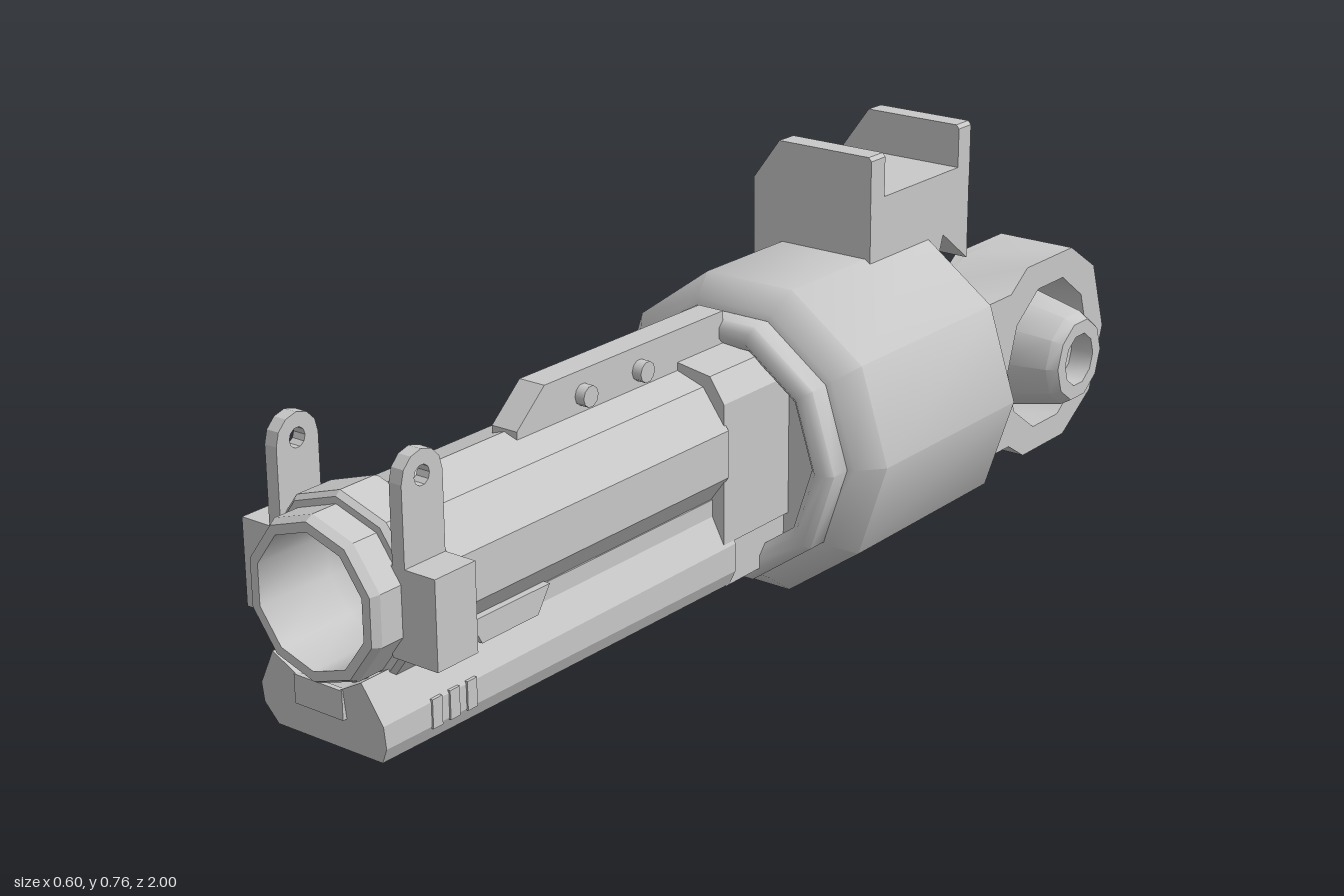
import * as THREE from 'three';
import { mergeVertices, toCreasedNormals } from 'three/addons/utils/BufferGeometryUtils.js';

const AXIS_X = -0.017; // barrel line
const AXIS_Y = 0.34;

export function createModel() {
  const model = new THREE.Group();
  model.name = 'barrelAssembly';
  const grey = new THREE.MeshStandardMaterial({ color: 0xc8c8c8 });
  grey.name = 'light grey';

  const add = (name, geometry, x = 0, y = 0, z = 0) => {
    const mesh = new THREE.Mesh(geometry, grey);
    mesh.name = name;
    mesh.position.set(x, y, z);
    model.add(mesh);
    return mesh;
  };

  // Box given by its limits
  const box = (name, x0, x1, y0, y1, z0, z1) =>
    add(name, new THREE.BoxGeometry(x1 - x0, y1 - y0, z1 - z0), (x0 + x1) / 2, (y0 + y1) / 2, (z0 + z1) / 2);

  // Ten-sided turned part; profile is [radius, position along axis]
  const lathe = (profile, phase, crease) =>
    toCreasedNormals(new THREE.LatheGeometry(profile.map(([r, h]) => new THREE.Vector2(r, h)), 10, phase), crease);
  const turnZ = (profile, phase, crease) => lathe(profile, phase, crease).rotateX(Math.PI / 2);

  const shapeOf = (pts) => new THREE.Shape(pts.map(([a, b]) => new THREE.Vector2(a, b)));
  const circlePath = (u, v, r, n) => {
    const p = [];
    for (let i = 0; i < n; i++) {
      const a = (i / n) * Math.PI * 2;
      p.push(new THREE.Vector2(u + Math.cos(a) * r, v + Math.sin(a) * r));
    }
    return new THREE.Path(p);
  };

  // Front outline [x, y] extruded from z0 to z1
  const extrudeZ = (pts, z0, z1) =>
    new THREE.ExtrudeGeometry(shapeOf(pts), { depth: z1 - z0, bevelEnabled: false }).translate(0, 0, z0);

  // Side outline [z, y] extruded from x0 to x1, with optional hole [z, y, radius, sides]
  const extrudeX = (pts, x0, x1, hole) => {
    const s = shapeOf(pts.map(([z, y]) => [-z, y]));
    if (hole) s.holes.push(circlePath(-hole[0], hole[1], hole[2], hole[3]));
    return new THREE.ExtrudeGeometry(s, { depth: x1 - x0, bevelEnabled: false })
      .rotateY(Math.PI / 2).translate(x0, 0, 0);
  };

  // Main housing with front ring and hollow rear
  add('housing', turnZ([
    [0, -0.47], [0.205, -0.47], [0.215, -0.555], [0.262, -0.56], [0.3, -0.51],
    [0.3, -0.09], [0.262, -0.045], [0.24, -0.04],
  ], Math.PI / 10, 0.85), 0, 0.29, 0);
  add('frontRing', turnZ([
    [0.235, -0.05], [0.25, -0.04], [0.25, 0], [0.238, 0.012], [0.217, 0.012],
    [0.2, -0.005], [0.2, -0.06], [0, -0.06],
  ], Math.PI / 10, 0.85), 0, 0.29, 0);

  // Barrel, smooth bore and clamp band
  add('barrel', turnZ([[0, 0.125], [0.14, 0.125], [0.14, 0.985], [0.132, 1], [0.115, 1]], 0, 0.3),
    AXIS_X, AXIS_Y, 0);
  const bore = turnZ([[0.115, 1], [0.113, 0.85], [0.08, 0.78], [0, 0.74]], 0, 0.3);
  bore.deleteAttribute('normal');
  bore.deleteAttribute('uv');
  const smoothBore = mergeVertices(bore);
  smoothBore.computeVertexNormals();
  add('bore', smoothBore, AXIS_X, AXIS_Y, 0);
  add('clampBand', turnZ([[0.13, 0.84], [0.155, 0.84], [0.16, 0.85], [0.16, 0.925], [0.152, 0.935], [0.13, 0.935]], 0, 0.3),
    AXIS_X, AXIS_Y, 0);
  add('rearCollar', extrudeZ([
    [-0.117, 0.17], [0.11, 0.17], [0.11, 0.43], [0.08, 0.475], [AXIS_X, 0.49], [-0.1, 0.475], [-0.117, 0.43],
  ], -0.06, 0.13));

  // Fore-end under the barrel
  const foreEnd = [
    [-0.122, 0.097], [0.1, 0.097], [0.113, 0.125], [0.113, 0.165], [0.078, 0.232],
    [0.03, 0.205], [AXIS_X, 0.195], [-0.065, 0.205], [-0.11, 0.232], [-0.147, 0.165], [-0.147, 0.13],
  ];
  const foreGeometry = extrudeZ(foreEnd, 0.1, 1);
  const p = foreGeometry.attributes.position;
  for (let i = 0; i < p.count; i++) {
    // lean the nose back and let the underside drop toward the rear
    const y = p.getY(i);
    if (p.getZ(i) > 0.5) p.setZ(i, 0.995 - (0.232 - y) * 0.12);
    else if (y < 0.15) p.setY(i, y - 0.012);
  }
  foreGeometry.computeVertexNormals();
  add('foreEnd', foreGeometry);
  box('foreEndSpine', -0.115, 0.085, 0.12, 0.25, -0.06, 0.73);
  box('foreEndNoseSpine', -0.105, 0.075, 0.12, 0.222, 0.73, 0.96);
  box('foreEndRear', -0.122, 0.1, 0.084, 0.19, -0.06, 0.11);
  box('nosePlate', -0.067, 0.035, 0.155, 0.205, 0.985, 0.994);
  add('sidePlate', extrudeX([[0.77, 0.255], [0.745, 0.21], [0.61, 0.21], [0.58, 0.255]], -0.133, 0.099));
  for (const z of [0.87, 0.83, 0.79]) {
    box('gripRib', -0.15, 0.116, 0.12, 0.17, z - 0.011, z + 0.011);
  }

  // Top rail with cross pins
  add('topRail', extrudeX([[0, 0.44], [0, 0.545], [0.48, 0.545], [0.55, 0.485], [0.55, 0.46]], -0.043, 0.01));
  for (const z of [0.235, 0.385]) {
    const pin = add('railPin', toCreasedNormals(new THREE.CylinderGeometry(0.019, 0.019, 0.092, 10), 0.8), AXIS_X, 0.502, z);
    pin.rotation.z = Math.PI / 2;
  }

  // Pierced sight posts and side lugs, mirrored about the barrel
  const postOutline = [[0.85, 0.27]];
  for (let i = 0; i <= 6; i++) {
    const a = Math.PI * (1 - i / 6);
    postOutline.push([0.895 + Math.cos(a) * 0.045, 0.545 + Math.sin(a) * 0.045]);
  }
  postOutline.push([0.94, 0.27]);
  for (const side of [-1, 1]) {
    const span = (a, b) => [AXIS_X + side * a, AXIS_X + side * b].sort((m, n) => m - n);
    add('sightPost', extrudeX(postOutline, ...span(0.117, 0.142), [0.895, 0.548, 0.017, 10]));
    box('sideLug', ...span(0.11, 0.2025), 0.258, 0.41, 0.85, 0.94);
  }

  // Saddle mount on top of the housing
  add('mountBase', extrudeX([
    [-0.317, 0.685], [-0.317, 0.48], [-0.53, 0.48], [-0.56, 0.565], [-0.645, 0.5], [-0.645, 0.685],
  ], -0.157, 0.103));
  const lip = [
    [-0.157, 0.66], [0.103, 0.66], [0.103, 0.759], [0.097, 0.766], [-0.1, 0.766], [-0.157, 0.688],
  ];
  add('mountFrontLip', extrudeZ(lip, -0.36, -0.316));
  add('mountRearLip', extrudeZ(lip, -0.646, -0.605));

  // Rear block and pivot eye
  add('rearBlock', extrudeX([
    [-0.46, 0.44], [-0.66, 0.44], [-0.69, 0.41], [-0.69, 0.17], [-0.66, 0.14], [-0.46, 0.14],
  ], -0.157, 0.05));
  const eye = [
    [-0.46, 0.445], [-0.645, 0.445], [-0.7, 0.484], [-0.865, 0.484], [-0.955, 0.425], [-1, 0.29],
    [-0.96, 0.165], [-0.86, 0.1], [-0.71, 0.1], [-0.655, 0.135], [-0.46, 0.135],
  ];
  add('pivotEye', toCreasedNormals(extrudeX(eye, 0.065, 0.205, [-0.79, 0.29, 0.148, 10]), 0.85));
  add('pivotEyeBack', toCreasedNormals(extrudeX(eye, 0.045, 0.066), 0.85));
  add('pivotHub', lathe([
    [0, -0.12], [0.048, -0.13], [0.052, -0.178], [0.074, -0.18], [0.086, -0.165], [0.122, 0.05],
    [0.115, 0.15], [0.092, 0.255], [0.08, 0.275], [0.052, 0.275], [0.048, 0.23], [0, 0.22],
  ], 0, 0.65).rotateZ(-Math.PI / 2), 0, 0.29, -0.79);

  return model;
}
